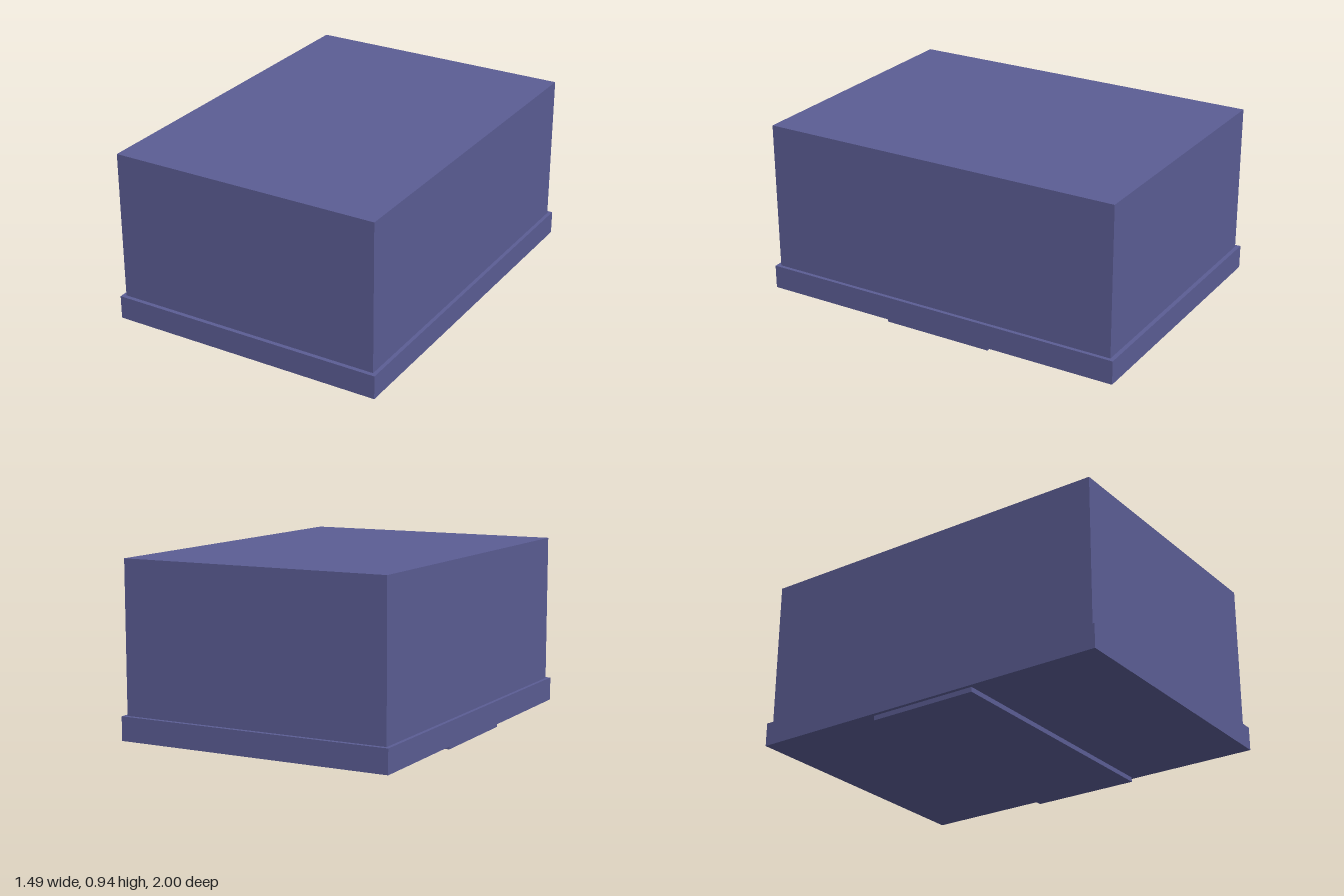
import * as THREE from 'three';

export function createModel() {
  const group = new THREE.Group();
  group.name = 'box';
  const slateBlue = new THREE.MeshStandardMaterial({ name: 'slateBlue', color: 0x5b5d94 });

  // Box resting on height y0 and reaching y1, centred in x and z
  const addBlock = (name, width, depth, y0, y1) => {
    const mesh = new THREE.Mesh(new THREE.BoxGeometry(width, y1 - y0, depth), slateBlue);
    mesh.name = name;
    mesh.position.y = (y0 + y1) / 2;
    group.add(mesh);
  };

  addBlock('body', 1.445, 1.955, 0.15, 0.937); // tall main body
  addBlock('lid', 1.485, 2, 0.025, 0.15); // wider flange below the body
  addBlock('bottomStrip', 1.445, 0.595, 0, 0.025); // raised strip across the underside

  return group;
}
